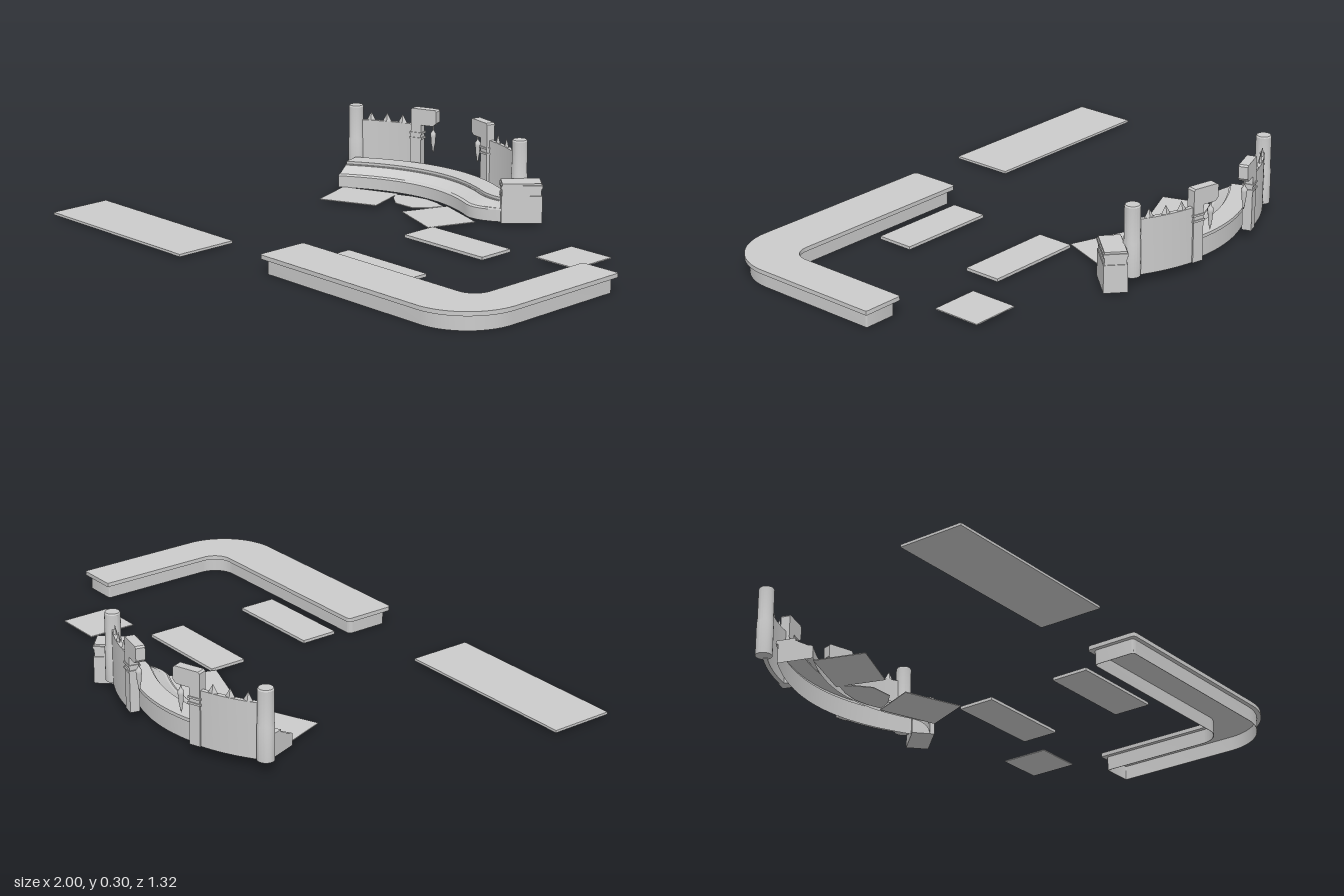
import * as THREE from 'three';
import { toCreasedNormals } from 'three/addons/utils/BufferGeometryUtils.js';

const grey = new THREE.MeshStandardMaterial({ color: 0xcccccc });
const greyThin = new THREE.MeshStandardMaterial({ color: 0xcccccc, side: THREE.DoubleSide });
const V2 = (x, y) => new THREE.Vector2(x, y);

function add(parent, name, geometry, x = 0, y = 0, z = 0, material = grey) {
  const mesh = new THREE.Mesh(geometry, material);
  mesh.name = name;
  mesh.position.set(x, y, z);
  parent.add(mesh);
  return mesh;
}

// Extrudes an (x, z) outline between two heights
function slab(shape, y0, y1) {
  const g = new THREE.ExtrudeGeometry(shape, { depth: y1 - y0, bevelEnabled: false, curveSegments: 14 });
  g.rotateX(Math.PI / 2).translate(0, y1, 0);
  return toCreasedNormals(g, 0.5);
}

const boxBetween = (parent, name, x0, x1, y0, y1, z0, z1) => add(parent, name,
  new THREE.BoxGeometry(x1 - x0, y1 - y0, z1 - z0), (x0 + x1) / 2, (y0 + y1) / 2, (z0 + z1) / 2);

// L-shaped outline, inset by d
function counterOutline(d) {
  const x0 = 0.04 + d, x1 = 1 - d, xi = 0.845 + d, zi = 0.38 + d, zo = 0.575 - d, ze = -0.132 + d;
  const R = 0.22 - d, r = 0.07 + d, c = 0.015, e = 0.006;
  const s = new THREE.Shape();
  s.moveTo(x0 + c, zo);
  s.lineTo(x1 - R, zo);
  s.absarc(x1 - R, zo - R, R, Math.PI / 2, 0, true);
  s.lineTo(x1, ze + e);
  s.quadraticCurveTo(x1, ze, x1 - e, ze);
  s.lineTo(xi + e, ze);
  s.quadraticCurveTo(xi, ze, xi, ze + e);
  s.lineTo(xi, zi - r);
  s.absarc(xi - r, zi - r, r, 0, Math.PI / 2, false);
  s.lineTo(x0 + c, zi);
  s.quadraticCurveTo(x0, zi, x0, zi + c);
  s.lineTo(x0, zo - c);
  s.quadraticCurveTo(x0, zo, x0 + c, zo);
  return s;
}

function cornerCounter() {
  const g = new THREE.Group();
  g.name = 'cornerCounter';
  add(g, 'counterTop', slab(counterOutline(0), 0.053, 0.068));
  // Hollow base, open underneath; the hole runs against the outer outline
  const wall = counterOutline(0.016);
  wall.holes.push(new THREE.Path(counterOutline(0.018).getPoints(14).reverse()));
  add(g, 'counterBase', slab(wall, 0, 0.053));
  return g;
}

// Bar surface rule: t runs along the curve (-1..1), v from back (0) to front (1)
function barPoint(t, v, y) {
  const e = Math.max(0, (t - 0.68) / 0.32) ** 2;
  return [-0.195 + t * (0.405 - 0.045 * v) + 0.03 * v * e, y,
    -0.604 + 0.145 * v + (0.139 - 0.013 * v) * t * t - 0.1 * v * e];
}

function curvedBar() {
  const g = new THREE.Group();
  g.name = 'curvedBar';
  const profile = [[1, 0.01], [1, 0.054], [0.94, 0.06], [0.88, 0.06], [0.58, 0.082], [0.58, 0.085],
    [0.53, 0.085], [0.53, 0.095], [0, 0.095], [0, 0.083], [0.06, 0.083], [0.06, 0.01]];
  const N = 32, pos = [], index = [];
  for (let k = 0; k < profile.length - 1; k++) {
    const base = pos.length / 3;
    for (let i = 0; i <= N; i++) {
      const t = -1 + 2 * i / N;
      pos.push(...barPoint(t, ...profile[k]), ...barPoint(t, ...profile[k + 1]));
      if (i < N) {
        const a = base + 2 * i;
        index.push(a, a + 2, a + 1, a + 1, a + 2, a + 3);
      }
    }
  }
  const shell = new THREE.BufferGeometry();
  shell.setAttribute('position', new THREE.Float32BufferAttribute(pos, 3));
  shell.setIndex(index);
  shell.computeVertexNormals();
  add(g, 'barShell', shell, 0, 0, 0, greyThin);
  // End panels follow the same profile
  for (const t of [-1, 1]) {
    const cap = new THREE.ShapeGeometry(new THREE.Shape(profile.map(p => V2(...p))));
    const p = cap.attributes.position;
    for (let i = 0; i < p.count; i++) p.setXYZ(i, ...barPoint(t, p.getX(i), p.getY(i)));
    cap.computeVertexNormals();
    add(g, 'barEnd', cap, 0, 0, 0, greyThin);
  }
  return g;
}

// Stepped pillar closing the bar's left end
function endPillar() {
  const g = new THREE.Group();
  g.name = 'endPillar';
  const layers = [['pillarBase', 0.147, 0.082, 0.008, 0.108], ['pillarNeck', 0.141, 0.076, 0.108, 0.135],
    ['pillarCap', 0.149, 0.084, 0.135, 0.147], ['pillarCapTop', 0.141, 0.076, 0.147, 0.154]];
  for (const [name, w, d, y0, y1] of layers) boxBetween(g, name, -w / 2, w / 2, y0, y1, -d / 2, d / 2);
  g.position.set(0.223, 0, -0.503);
  g.rotation.y = 0.84;
  return g;
}

// Back wall wing; s = 1 runs towards +x from its post, s = -1 towards -x
function wallWing(name, s) {
  const g = new THREE.Group();
  g.name = name;
  // Round post, thicker below its ring
  const post = [[0, 0.037], [0.03, 0.037], [0.03, 0.16], [0.028, 0.167], [0.028, 0.286], [0.025, 0.291],
    [0, 0.291]].map(p => V2(...p));
  add(g, 'post', toCreasedNormals(new THREE.LatheGeometry(post, 20), 0.5));
  // Gently bowed wall
  const curve = new THREE.QuadraticBezierCurve(V2(0.015 * s, 0), V2(0.125 * s, -0.022), V2(0.24 * s, -0.005));
  const line = curve.getPoints(10);
  const outline = [...line.map(p => V2(p.x, p.y + 0.008)), ...line.reverse().map(p => V2(p.x, p.y - 0.008))];
  add(g, 'wall', slab(new THREE.Shape(outline), 0.035, 0.235));
  // Flat pointed spikes along the wall top
  const spike = new THREE.ConeGeometry(0.019, 0.034, 4).toNonIndexed();
  spike.scale(1, 1, 0.42).computeVertexNormals();
  for (const t of [0.2, 0.48, 0.76]) {
    const p = curve.getPoint(t);
    add(g, 'spike', spike, p.x, 0.25, p.y);
  }
  // Column with an overhanging arm, turned slightly from the wall
  const arm = new THREE.Group();
  arm.name = 'arm';
  arm.position.set(0.228 * s, 0, -0.003);
  arm.rotation.y = -0.1 * s;
  g.add(arm);
  const armShape = new THREE.Shape([[0, 0.035], [0.042, 0.035], [0.042, 0.238], [0.092, 0.238], [0.105, 0.25],
    [0.105, 0.294], [0.099, 0.3], [0.006, 0.3], [0, 0.294]].map(([x, y]) => V2(x * s, y)));
  const armGeo = new THREE.ExtrudeGeometry(armShape, { depth: 0.034, bevelEnabled: false });
  add(arm, 'columnArm', armGeo, 0, 0, -0.017);
  for (const y of [0.185, 0.205]) {
    add(arm, 'columnBand', new THREE.BoxGeometry(0.05, 0.007, 0.041), 0.021 * s, y, 0);
  }
  // Hanging lantern
  const lantern = [[0, 0.13], [0.004, 0.142], [0.005, 0.155], [0.008, 0.168], [0.009, 0.19], [0.011, 0.197],
    [0.011, 0.207], [0.005, 0.215], [0.003, 0.222], [0.003, 0.24]].map(p => V2(...p));
  add(arm, 'lantern', new THREE.LatheGeometry(lantern, 10), 0.086 * s, 0, 0, greyThin);
  return g;
}

function floorMats() {
  const g = new THREE.Group();
  g.name = 'floorMats';
  g.position.z = 0.005;
  boxBetween(g, 'longMat', -1, -0.278, 0.006, 0.015, 0.418, 0.654);
  boxBetween(g, 'backMat', 0.08, 0.456, 0.004, 0.015, -0.206, -0.066);
  boxBetween(g, 'frontMat', 0.08, 0.456, 0.004, 0.015, 0.2, 0.341);
  boxBetween(g, 'squareMat', 0.574, 0.755, 0.009, 0.013, -0.387, -0.205);
  // Mats fanned out in front of the bar
  const fan = {
    rightFanMat: [[-0.54, -0.35], [-0.328, -0.433], [-0.268, -0.26], [-0.477, -0.17]],
    leftFanMat: [[-0.08, -0.442], [0.134, -0.368], [0.068, -0.195], [-0.145, -0.272]],
    middleFanMat: [[-0.327, -0.42], [-0.265, -0.445], [-0.2, -0.455], [-0.14, -0.447], [-0.09, -0.43],
      [-0.112, -0.38], [-0.155, -0.335], [-0.243, -0.335], [-0.3, -0.38]],
  };
  for (const name in fan) {
    add(g, name, slab(new THREE.Shape(fan[name].map(p => V2(...p))), 0.009, 0.012));
  }
  return g;
}

export function createModel() {
  const model = new THREE.Group();
  model.name = 'barFurniture';
  const rightWing = wallWing('rightWallWing', 1);
  rightWing.position.set(-0.626, 0, -0.494);
  rightWing.rotation.y = 0.44;
  const leftWing = wallWing('leftWallWing', -1);
  leftWing.position.set(0.174, 0, -0.546);
  leftWing.rotation.y = -0.325;
  model.add(cornerCounter(), curvedBar(), endPillar(), rightWing, leftWing, floorMats());
  return model;
}
